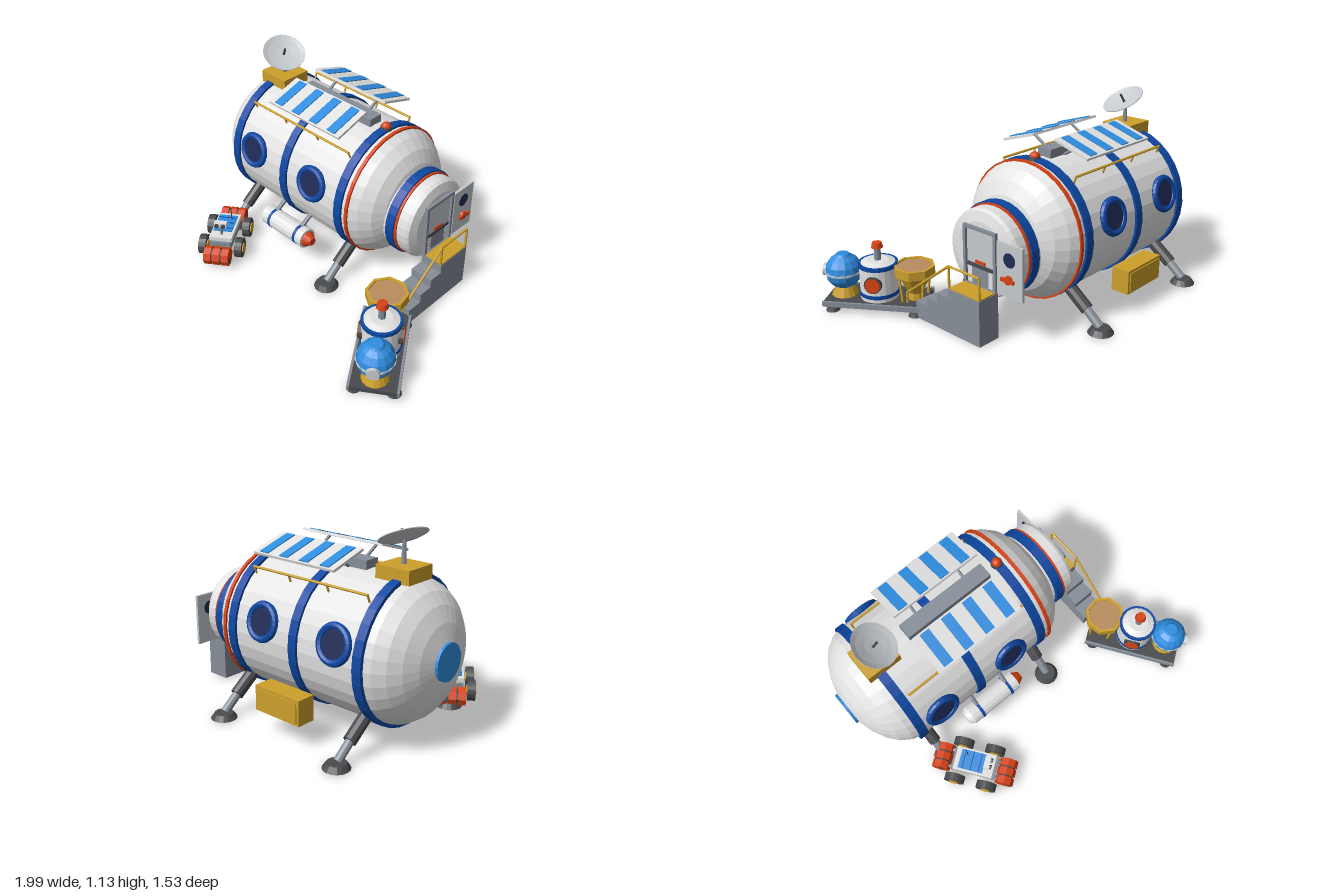
import * as THREE from 'three';

const mat = (name, color) => {
  const m = new THREE.MeshStandardMaterial({ color });
  m.name = name;
  return m;
};

export function createModel() {
  const white = mat('white', 0xe2e2e2), blue = mat('deep blue', 0x0d47a1), sky = mat('sky blue', 0x2f8de0);
  const navy = mat('navy glass', 0x1f2a55), red = mat('orange red', 0xd84315), gold = mat('gold', 0xcda02c);
  const grey = mat('grey', 0x868e98), dark = mat('dark grey', 0x484a4d), soil = mat('soil', 0xb98d5e);
  const pale = mat('pale grey', 0xc6cace);

  const model = new THREE.Group();
  const HY = 0.493, HZ = -0.213; // hull axis
  const X = new THREE.Vector3(1, 0, 0), Y = new THREE.Vector3(0, 1, 0);

  // Faceted mesh with position and rotation
  const add = (parent, name, geo, material, p = [0, 0, 0], r = [0, 0, 0]) => {
    const g = geo.index ? geo.toNonIndexed() : geo;
    g.computeVertexNormals();
    const m = new THREE.Mesh(g, material);
    m.name = name;
    m.position.set(...p);
    m.rotation.set(...r);
    parent.add(m);
    return m;
  };
  const group = (parent, name, p = [0, 0, 0], ry = 0) => {
    const g = new THREE.Group();
    g.name = name;
    g.position.set(...p);
    g.rotation.y = ry;
    parent.add(g);
    return g;
  };
  const box = (w, h, d) => new THREE.BoxGeometry(w, h, d);
  const cyl = (rt, rb, h, n = 16) => new THREE.CylinderGeometry(rt, rb, h, n);
  const lathe = (pts, n) => new THREE.LatheGeometry(pts.map(p => new THREE.Vector2(...p)), n);
  const beam = (parent, name, a, b, r, material, n = 8) => {
    const A = new THREE.Vector3(...a), B = new THREE.Vector3(...b), d = B.clone().sub(A);
    const m = add(parent, name, cyl(r, r, d.length(), n), material, A.clone().add(B).multiplyScalar(0.5).toArray());
    m.quaternion.setFromUnitVectors(Y, d.normalize());
    return m;
  };
  const alongX = [0, 0, -Math.PI / 2], alongZ = [Math.PI / 2, 0, 0];

  // Pressure hull and airlock neck, turned about the x axis
  const hull = group(model, 'hull', [0, HY, HZ]);
  add(hull, 'hullShell', lathe([[0, -0.985], [0.1, -0.985], [0.19, -0.96], [0.27, -0.92], [0.33, -0.87], [0.37, -0.81],
    [0.387, -0.745], [0.387, -0.325], [0.387, 0.13], [0.387, 0.2], [0.362, 0.25], [0.31, 0.31], [0.24, 0.35],
    [0.18, 0.365], [0, 0.365]], 32), white, [0, 0, 0], alongX);
  for (const x of [-0.745, -0.323, 0.127]) add(hull, 'blueRing', cyl(0.4, 0.4, 0.053, 32), blue, [x, 0, 0], alongX);
  add(hull, 'redRing', cyl(0.397, 0.397, 0.02, 32), red, [0.19, 0, 0], alongX);
  add(hull, 'endCap', cyl(0.1, 0.1, 0.03, 20), sky, [-0.985, 0, 0], alongX);
  const neck = group(hull, 'airlockNeck', [0, -0.036, 0]);
  add(neck, 'neckShell', lathe([[0, 0.3], [0.245, 0.3], [0.245, 0.5], [0.235, 0.52], [0.18, 0.535], [0, 0.535]], 32),
    white, [0, 0, 0], alongX);
  add(neck, 'neckBlueRing', cyl(0.26, 0.26, 0.055, 32), blue, [0.398, 0, 0], alongX);
  add(neck, 'neckRedRing', cyl(0.253, 0.253, 0.014, 32), red, [0.434, 0, 0], alongX);

  // Portholes, facing slightly upward on both sides
  for (const x of [-0.59, -0.095]) for (const s of [0, Math.PI]) {
    const p = group(hull, 'porthole', [x, 0, 0]);
    p.rotation.set(-0.245, s, 0, 'YXZ');
    add(p, 'portholeRim', new THREE.TorusGeometry(0.091, 0.02, 8, 24), blue, [0, 0, 0.39]);
    add(p, 'portholeGlass', cyl(0.085, 0.085, 0.03, 24), navy, [0, 0, 0.384], alongZ);
  }

  // Handrails along the upper hull
  for (const s of [-1, 1]) {
    beam(model, 'handrail', [-0.7, 0.829, HZ + s * 0.26], [0.088, 0.829, HZ + s * 0.26], 0.007, gold, 6);
    for (const x of [-0.697, -0.435, -0.17, 0.085])
      beam(model, 'handrailPost', [x, 0.829, HZ + s * 0.26], [x, 0.78, HZ + s * 0.24], 0.006, gold, 6);
  }

  // Roof equipment: solar wings, centre duct, beacon
  add(model, 'roofDuct', box(0.56, 0.06, 0.09), grey, [-0.235, 0.895, HZ - 0.005]);
  for (const s of [-1, 1]) {
    const wing = group(model, 'solarWing', [-0.235, 0.953, HZ + s * 0.187]);
    wing.rotation.x = s * 0.3;
    add(wing, 'solarFrame', box(0.563, 0.014, 0.232), white);
    for (let i = 0; i < 4; i++) add(wing, 'solarCells', box(0.06, 0.006, 0.21), sky, [-0.211 + i * 0.141, 0.009, 0]);
    for (const x of [-0.4, -0.07])
      beam(model, 'wingStrut', [x, 0.87, HZ + s * 0.04], [x, 0.95, HZ + s * 0.17], 0.009, grey, 6);
  }
  add(model, 'beaconBase', cyl(0.032, 0.036, 0.02, 12), dark, [0.125, 0.89, HZ - 0.005]);
  add(model, 'beacon', new THREE.SphereGeometry(0.03, 10, 5, 0, 7, 0, Math.PI / 2), red, [0.125, 0.896, HZ - 0.005]);

  // Dish antenna on its equipment box
  add(model, 'dishBox', box(0.205, 0.075, 0.19), gold, [-0.715, 0.898, -0.218]);
  add(model, 'dishMast', cyl(0.01, 0.014, 0.14, 8), grey, [-0.71, 0.99, HZ]);
  const dish = group(model, 'dish', [-0.705, 1.05, HZ + 0.005]);
  dish.quaternion.setFromUnitVectors(Y, new THREE.Vector3(0.45, 0.87, 0.2).normalize());
  const bowl = [[0, 0], [0.05, 0.003], [0.1, 0.012], [0.129, 0.022]];
  add(dish, 'dishBowl', lathe([...bowl, ...bowl.map(([r, y]) => [r, y + 0.004]).reverse()], 24), pale);
  beam(dish, 'dishFeed', [0, 0, 0], [0, 0.06, 0], 0.007, dark, 6);

  // Landing legs
  for (const x of [-0.7, 0.122]) for (const s of [-1, 1]) {
    const leg = group(model, 'landingLeg', [x, 0, HZ]);
    beam(leg, 'upperStrut', [0, 0.21, s * 0.26], [0, 0.115, s * 0.385], 0.037, dark, 10);
    beam(leg, 'lowerStrut', [0, 0.15, s * 0.34], [0, 0.04, s * 0.475], 0.025, grey, 10);
    add(leg, 'footPad', cyl(0.052, 0.073, 0.03, 16), dark, [0, 0.026, s * 0.48]);
  }

  // Storage box at the back and gas tank at the front
  add(model, 'storageBox', box(0.31, 0.14, 0.11), gold, [-0.285, 0.205, -0.63]);
  add(model, 'storageLid', box(0.28, 0.11, 0.01), gold, [-0.285, 0.205, -0.686]);
  const tank = group(model, 'gasTank', [0, 0.198, 0.205]);
  add(tank, 'tankBody', lathe([[0, -0.48], [0.04, -0.475], [0.062, -0.445], [0.062, -0.1], [0, -0.1]], 16), white, [0, 0, 0], alongX);
  add(tank, 'tankNose', cyl(0.024, 0.05, 0.045, 16), red, [-0.077, 0, 0], alongX);
  for (const x of [-0.38, -0.16]) {
    add(tank, 'tankBand', cyl(0.064, 0.064, 0.018, 16), blue, [x, 0, 0], alongX);
    beam(tank, 'tankBracket', [x, 0.05, -0.01], [x, 0.1, -0.09], 0.014, grey, 6);
  }

  // Doorway with open door
  const hatch = group(model, 'doorway', [0.535, 0, HZ]);
  const frame = new THREE.Shape([[-0.118, 0.275], [0.118, 0.275], [0.118, 0.607], [-0.118, 0.607]].map(p => new THREE.Vector2(...p)));
  frame.holes.push(new THREE.Path([[-0.1, 0.28], [-0.1, 0.59], [0.1, 0.59], [0.1, 0.28]].map(p => new THREE.Vector2(...p))));
  add(hatch, 'doorFrame', new THREE.ExtrudeGeometry(frame, { depth: 0.05, bevelEnabled: false }), grey, [-0.032, 0, 0], [0, Math.PI / 2, 0]);
  add(hatch, 'innerWall', box(0.008, 0.31, 0.2), pale, [0, 0.435, 0]);
  add(hatch, 'innerBench', box(0.012, 0.1, 0.13), grey, [0.004, 0.33, 0]);
  add(hatch, 'innerShelf', box(0.014, 0.02, 0.19), dark, [0.004, 0.388, 0]);
  add(hatch, 'innerHandle', box(0.014, 0.016, 0.07), red, [0.004, 0.412, 0]);
  for (const z of [-0.075, 0.075]) add(hatch, 'innerBottle', box(0.014, 0.09, 0.03), white, [0.004, 0.33, z]);
  const door = group(model, 'openDoor', [0.543, 0.43, -0.427]);
  add(door, 'doorPanel', box(0.016, 0.294, 0.175), pale);
  add(door, 'doorWindow', cyl(0.04, 0.04, 0.02, 20), navy, [0, 0.062, 0], alongX);
  add(door, 'doorHandle', box(0.014, 0.018, 0.09), red, [0.024, -0.044, 0]);
  add(door, 'doorHub', cyl(0.024, 0.024, 0.02, 12), red, [0.016, -0.044, 0], alongX);

  // Entry platform, steps and railing
  const stairs = group(model, 'stairs', [0.602, 0, 0]);
  add(stairs, 'platform', box(0.14, 0.262, 0.23), grey, [0, 0.141, HZ]);
  add(stairs, 'platformDeck', box(0.135, 0.008, 0.225), gold, [0, 0.274, HZ]);
  [[-0.06, 0.218], [0.025, 0.165], [0.118, 0.11]].forEach(([z, h]) =>
    add(stairs, 'step', box(0.14, h - 0.01, 0.098), grey, [0, h / 2 + 0.005, z]));
  const rail = [[0.062, 0.4, -0.325], [0.062, 0.4, -0.1], [0.062, 0.13, 0.25]];
  beam(stairs, 'railing', rail[0], rail[1], 0.007, gold, 6);
  beam(stairs, 'railing', rail[1], rail[2], 0.007, gold, 6);
  rail.forEach(([x, y, z], i) => beam(stairs, 'railPost', [x, y, z], [x, i < 2 ? 0.27 : 0.01, z], 0.007, gold, 6));

  // Digging rover with a drum at each end
  const rover = group(model, 'rover', [-0.6, 0, 0.432], 0.62);
  add(rover, 'roverChassis', box(0.13, 0.05, 0.27), grey, [0, 0.095, 0]);
  add(rover, 'roverBody', box(0.14, 0.03, 0.24), white, [0, 0.13, 0]);
  add(rover, 'roverPanel', box(0.115, 0.008, 0.15), sky, [0, 0.153, -0.015]);
  for (const z of [-0.06, -0.01, 0.04]) add(rover, 'panelSeam', box(0.115, 0.004, 0.005), blue, [0, 0.157, z - 0.005]);
  for (const s of [-1, 1]) {
    for (const z of [-0.098, 0.098]) {
      add(rover, 'wheel', cyl(0.061, 0.061, 0.045, 16), dark, [s * 0.112, 0.068, z], alongX);
      add(rover, 'wheelHub', cyl(0.032, 0.032, 0.056, 8), gold, [s * 0.112, 0.068, z], alongX);
    }
    for (const x of [-0.05, 0.05]) beam(rover, 'drumArm', [x, 0.1, s * 0.1], [x, 0.07, s * 0.195], 0.012, grey, 6);
    for (const x of [-0.054, 0, 0.054])
      add(rover, 'diggingDrum', cyl(0.056, 0.056, 0.044, 8), red, [x, 0.07, s * 0.196], alongX);
    add(rover, 'drumCore', cyl(0.045, 0.045, 0.152, 8), dark, [0, 0.07, s * 0.196], alongX);
    add(rover, 'cameraEye', cyl(0.013, 0.013, 0.012, 10), dark, [s * 0.02, 0.222, 0.103], alongZ);
  }
  add(rover, 'cameraMast', cyl(0.009, 0.009, 0.08, 8), grey, [0, 0.18, 0.08]);
  add(rover, 'cameraHead', box(0.075, 0.028, 0.035), white, [0, 0.222, 0.08]);
  add(rover, 'roverAntenna', cyl(0.003, 0.003, 0.12, 6), dark, [0.03, 0.19, -0.05]);

  // Processing plant on a skid
  const plant = group(model, 'processingPlant', [0.711, 0, 0.445], 0.595);
  add(plant, 'skidDeck', box(0.27, 0.025, 0.575), dark, [0, 0.055, 0]);
  for (const s of [-1, 1]) {
    add(plant, 'skidRail', box(0.014, 0.03, 0.58), grey, [s * 0.13, 0.056, 0]);
    for (const z of [-0.24, 0.24]) {
      add(plant, 'skidFoot', cyl(0.03, 0.04, 0.022, 12), dark, [s * 0.105, 0.021, z]);
      add(plant, 'skidFootStem', cyl(0.015, 0.015, 0.03, 8), grey, [s * 0.105, 0.04, z]);
    }
  }
  const hopper = group(plant, 'hopper', [0, 0, -0.215]);
  add(hopper, 'hopperFunnel', lathe([[0, 0.095], [0.035, 0.095], [0.098, 0.215], [0.12, 0.22], [0.12, 0.272], [0.104, 0.272],
    [0.1, 0.25], [0, 0.25]], 8), gold);
  add(hopper, 'soilFill', cyl(0.102, 0.1, 0.02, 8), soil, [0, 0.255, 0]);
  add(hopper, 'hopperOutlet', cyl(0.04, 0.05, 0.05, 8), gold, [0, 0.085, 0]);
  for (const x of [-1, 1]) for (const z of [-1, 1])
    beam(hopper, 'hopperLeg', [x * 0.07, 0.065, z * 0.055], [x * 0.07, 0.23, z * 0.07], 0.008, gold, 6);
  const reactor = group(plant, 'reactor', [0, 0, -0.005]);
  add(reactor, 'reactorBody', cyl(0.108, 0.108, 0.21, 20), white, [0, 0.172, 0]);
  add(reactor, 'reactorBase', cyl(0.09, 0.09, 0.03, 20), dark, [0, 0.068, 0]);
  for (const y of [0.1, 0.268]) add(reactor, 'reactorBand', cyl(0.112, 0.112, 0.022, 20), blue, [0, y, 0]);
  add(reactor, 'reactorCap', cyl(0.06, 0.105, 0.015, 20), white, [0, 0.284, 0]);
  add(reactor, 'reactorPipe', cyl(0.02, 0.02, 0.09, 10), grey, [0, 0.325, 0]);
  add(reactor, 'reactorValve', cyl(0.027, 0.034, 0.03, 12), red, [0, 0.38, 0]);
  for (const s of [-1, 1]) {
    add(reactor, 'sidePortRim', cyl(0.05, 0.05, 0.03, 14), dark, [s * 0.104, 0.18, 0], alongX);
    add(reactor, 'sidePort', cyl(0.043, 0.043, 0.04, 14), red, [s * 0.104, 0.18, 0], alongX);
  }
  const store = group(plant, 'sphereTank', [0, 0, 0.2]);
  add(store, 'sphereShell', new THREE.SphereGeometry(0.105, 14, 8), sky, [0, 0.21, 0]);
  add(store, 'sphereBand', cyl(0.107, 0.107, 0.012, 14), pale, [0, 0.21, 0]);
  add(store, 'sphereStand', cyl(0.055, 0.078, 0.055, 14), gold, [0, 0.092, 0]);
  add(store, 'sphereTopCap', cyl(0.036, 0.045, 0.012, 14), sky, [0, 0.31, 0]);
  add(store, 'spherePort', cyl(0.036, 0.036, 0.03, 14), pale, [0, 0.21, 0.1], alongZ);
  return model;
}
